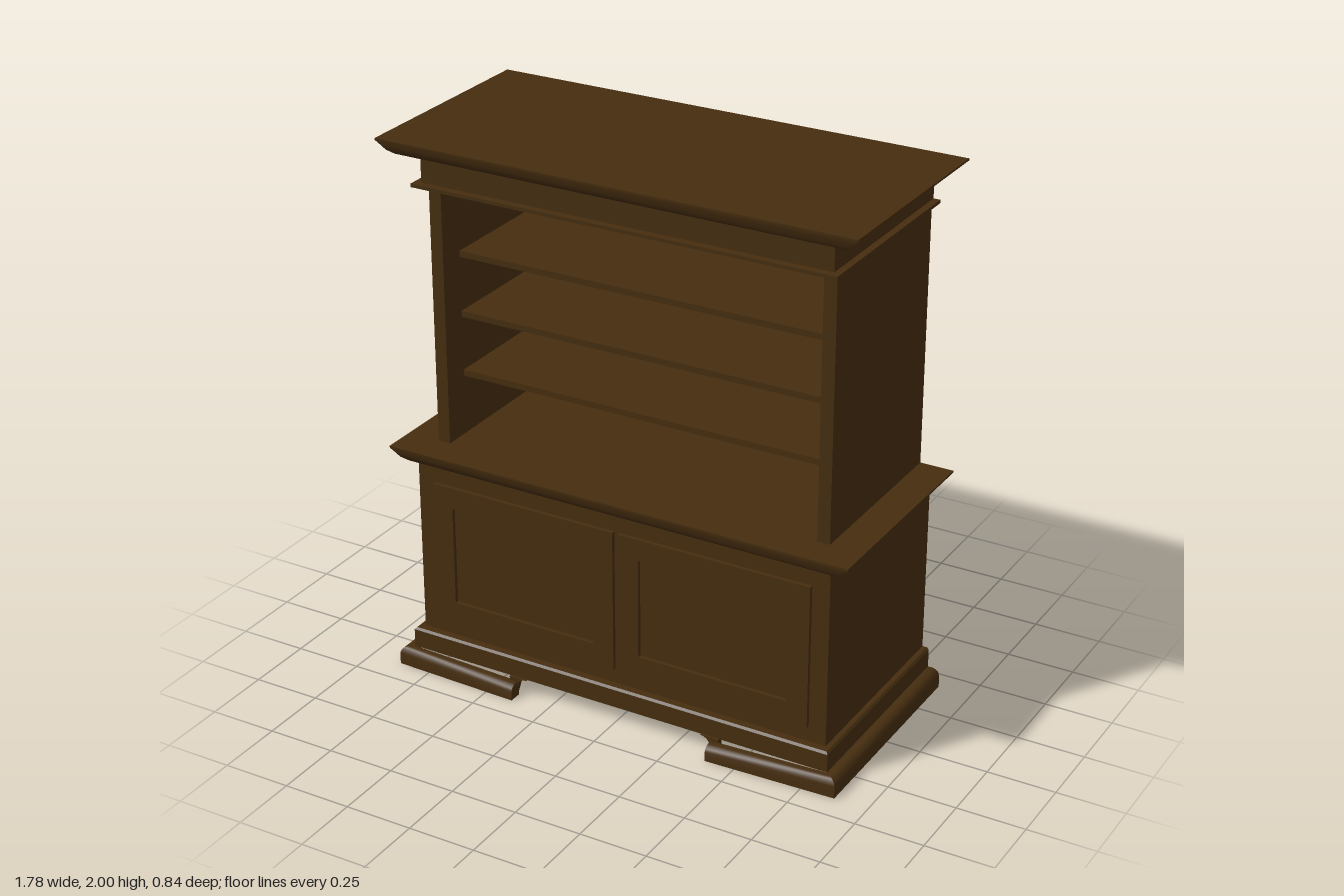
import * as THREE from 'three';
import { toCreasedNormals } from 'three/addons/utils/BufferGeometryUtils.js';

const BACK = -0.42;

export function createModel() {
  const group = new THREE.Group();
  const wood = new THREE.MeshStandardMaterial({ color: 0x452d0f, side: THREE.DoubleSide });
  wood.name = 'dark wood';

  function add(name, geometry, x = 0, y = 0, z = 0) {
    const mesh = new THREE.Mesh(geometry, wood);
    mesh.name = name;
    mesh.position.set(x, y, z);
    group.add(mesh);
    return mesh;
  }

  // Skin between rows of points, each row of equal length
  function sheet(name, rows, flip = false) {
    const n = rows[0].length, pos = [], idx = [];
    rows.forEach(row => row.forEach(p => pos.push(...p)));
    for (let r = 0; r < rows.length - 1; r++) {
      for (let c = 0; c < n - 1; c++) {
        const a = r * n + c, b = a + 1, d = a + n, e = d + 1;
        if (flip) idx.push(a, d, b, b, d, e);
        else idx.push(a, b, d, b, e, d);
      }
    }
    const g = new THREE.BufferGeometry();
    g.setAttribute('position', new THREE.Float32BufferAttribute(pos, 3));
    g.setIndex(idx);
    return add(name, toCreasedNormals(g, 0.6));
  }

  // Sweep a profile of [half width, front z, y] around left, front and right; the back stays open
  const wrap = (name, profile) => sheet(name, profile.map(([x, z, y]) =>
    [[-x, y, BACK], [-x, y, z], [x, y, z], [x, y, BACK]]));

  const rectPoints = (x0, x1, y0, y1) =>
    [[x0, y0], [x1, y0], [x1, y1], [x0, y1]].map(p => new THREE.Vector2(...p));

  // Flat front-facing rectangle with rectangular openings
  function face(name, rect, holes, z) {
    const shape = new THREE.Shape(rectPoints(...rect));
    holes.forEach(h => shape.holes.push(new THREE.Path(rectPoints(...h).reverse())));
    return add(name, new THREE.ShapeGeometry(shape), 0, 0, z);
  }

  // Four walls joining a rectangle at two depths
  function rim(name, rect, zBack, zFront, inward) {
    const pts = rectPoints(...rect);
    pts.push(pts[0]);
    return sheet(name, [zBack, zFront].map(z => pts.map(p => [p.x, p.y, z])), inward);
  }

  // Horizontal sheet from the back edge to a given front
  function plate(name, halfWidth, front, y) {
    const g = new THREE.PlaneGeometry(2 * halfWidth, front - BACK).rotateX(-Math.PI / 2);
    return add(name, g, 0, y, (front + BACK) / 2);
  }

  // Moulded slab used for the cornice and the counter
  function mouldedTop(name, top, innerX, innerZ) {
    const b = top - 0.06;
    wrap(name + 'Moulding', [
      [innerX, innerZ, b], [0.80, 0.335, b + 0.001], [0.83, 0.36, b + 0.008],
      [0.855, 0.374, b + 0.022], [0.875, 0.38, b + 0.04], [0.89, 0.385, b + 0.053], [0.89, 0.385, top],
    ]);
    plate(name + 'Top', 0.89, 0.385, top);
  }

  // Lower cabinet sides
  for (const s of [-1, 1]) {
    sheet('cabinetSide', [0.145, 0.81].map(y =>
      [[s * 0.805, y, BACK], [s * 0.805, y, 0.335]]), s > 0);
  }

  // Cabinet front with two framed doors
  const doors = [[-0.74, -0.01, 0.205, 0.74], [0.01, 0.74, 0.205, 0.74]];
  face('cabinetFront', [-0.805, 0.805, 0.145, 0.81], doors, 0.335);
  for (const d of doors) {
    const panel = [d[0] + 0.08, d[1] - 0.08, 0.285, 0.66];
    face('doorFrame', d, [panel], 0.35);
    rim('doorEdge', d, 0.335, 0.35, false);
    rim('doorPanelEdge', panel, 0.335, 0.35, true);
    face('doorPanel', panel, [], 0.335);
  }

  // Plinth
  wrap('plinth', [[0.83, 0.37, 0.07], [0.83, 0.37, 0.138], [0.823, 0.363, 0.146], [0.805, 0.335, 0.146]]);

  // Bracket feet: a rounded moulding along each side, returning along the front
  const footProfile = [[0, 0], [0, 0.045], [0.005, 0.058], [0.014, 0.066], [0.024, 0.07], [0.045, 0.07]];
  for (const s of [-1, 1]) {
    sheet('foot', footProfile.map(([inset, y]) => [
      [s * (0.875 - inset), y, BACK],
      [s * (0.875 - inset), y, 0.402 - inset * 0.7],
      [s * 0.39, y * 0.8, 0.418 - inset],
    ]), s > 0);
    const cap = new THREE.Shape();
    cap.moveTo(s * 0.40, 0);
    cap.lineTo(s * 0.39, 0.035);
    cap.quadraticCurveTo(s * 0.385, 0.07, s * 0.35, 0.072);
    cap.lineTo(s * 0.42, 0.072);
    cap.lineTo(s * 0.42, 0);
    add('footBracket', new THREE.ExtrudeGeometry(cap, { depth: 0.025, bevelEnabled: false }), 0, 0, 0.355);
    // End of the front return
    sheet('footEnd', [0, 0.03, 0.056].map((y, i) =>
      [[s * 0.39, y, 0.37], [s * 0.39, y, [0.418, 0.418, 0.394][i]]]), s < 0);
  }

  mouldedTop('counter', 0.865, 0.805, 0.335);

  // Hutch sides: hollow uprights open at the back
  for (const s of [-1, 1]) {
    sheet('hutchSide', [0.865, 1.83].map(y => [
      [s * 0.765, y, BACK], [s * 0.765, y, 0.265], [s * 0.718, y, 0.265], [s * 0.718, y, BACK],
    ]), s > 0);
  }
  face('hutchBack', [-0.718, 0.718, 0.865, 1.94], [], BACK + 0.003);

  // Shelves
  for (const y of [1.10, 1.323, 1.546]) {
    add('shelf', new THREE.BoxGeometry(1.43, 0.022, 0.58), 0, y, -0.12);
  }

  // Frieze with a thin bead below it
  plate('hutchCeiling', 0.77, 0.30, 1.832);
  wrap('bead', [[0.765, 0.265, 1.826], [0.795, 0.328, 1.826], [0.795, 0.328, 1.838], [0.77, 0.30, 1.838]]);
  wrap('frieze', [[0.77, 0.30, 1.835], [0.77, 0.30, 1.94]]);
  mouldedTop('cornice', 2.0, 0.77, 0.30);

  return group;
}
